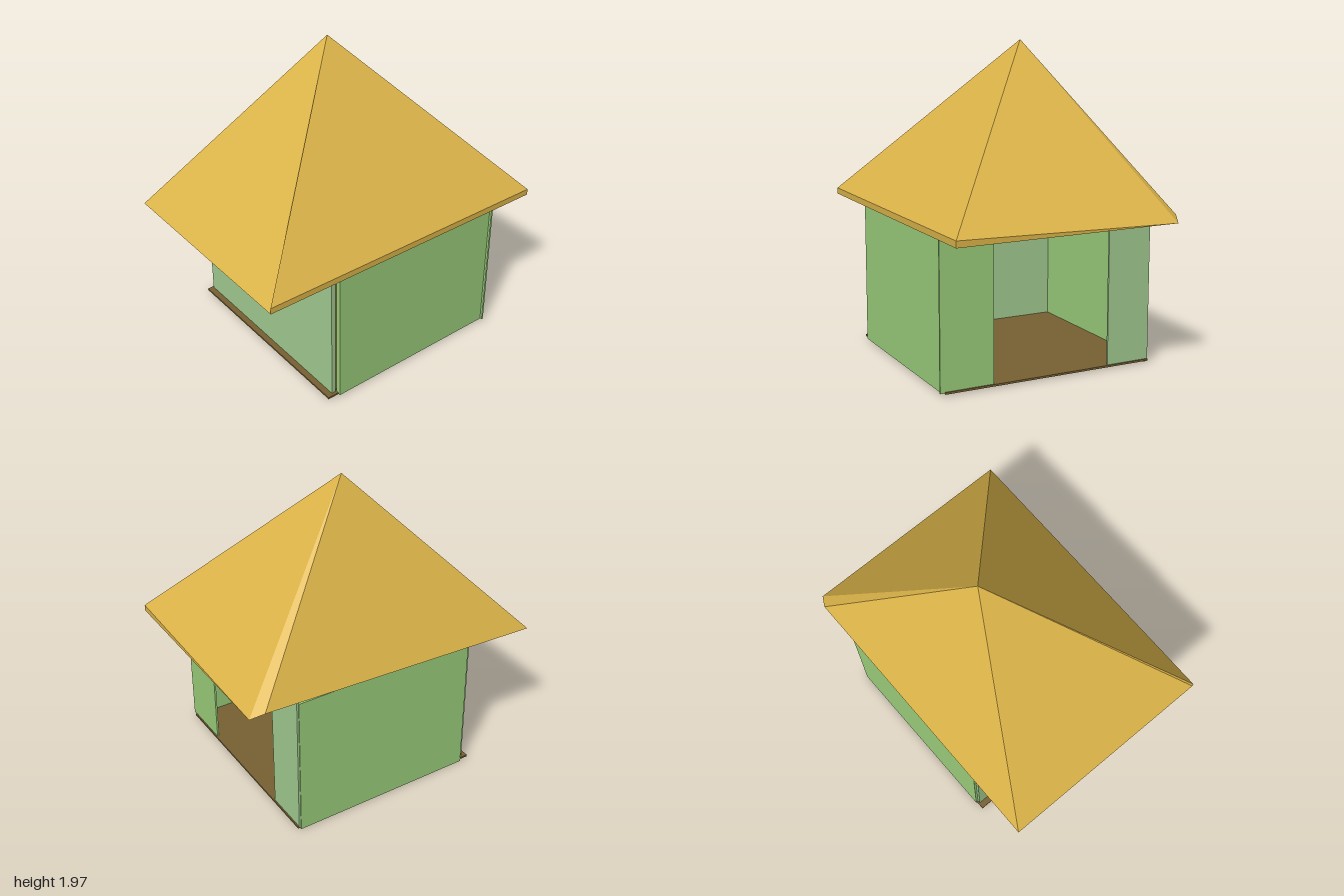
import * as THREE from 'three';

const flat = (name, color) => {
  const m = new THREE.MeshStandardMaterial({ color });
  m.name = name;
  return m;
};

export function createModel() {
  const group = new THREE.Group();
  group.name = 'hut';
  const thatch = flat('thatchYellow', 0xdcb449);
  const leaf = flat('leafGreen', 0x9bce7b);
  const pale = flat('paleGreen', 0xa2cc91);
  const earth = flat('earthBrown', 0x786033);

  // Box given by its lower and upper corners
  const slab = (name, material, [x0, y0, z0], [x1, y1, z1]) => {
    const mesh = new THREE.Mesh(new THREE.BoxGeometry(x1 - x0, y1 - y0, z1 - z0), material);
    mesh.position.set((x0 + x1) / 2, (y0 + y1) / 2, (z0 + z1) / 2);
    mesh.name = name;
    group.add(mesh);
  };

  // Thin floor and walls
  slab('floor', earth, [-0.7, 0.01, -0.71], [0.67, 0.022, 0.58]);
  slab('frontWall', pale, [-0.69, 0.015, 0.51], [0.65, 0.905, 0.54]);
  slab('leftWall', leaf, [0.65, 0.012, -0.69], [0.685, 0.915, 0.505]);
  slab('rightWall', leaf, [-0.705, 0, -0.69], [-0.68, 0.92, 0.52]);

  // Narrow back panels either side of the doorway
  slab('backPanelLeft', leaf, [0.36, 0.015, -0.702], [0.7, 0.915, -0.69]);
  slab('backPanelRight', pale, [-0.7, 0.015, -0.702], [-0.41, 0.935, -0.69]);

  // Lopsided pyramid roof: apex, eave corners and rim corners
  const P = [-0.15, 1.97, -0.05];
  const A1 = [0.7, 0.91, 1], A2 = [0.7, 0.95, 1];
  const D1 = [0.725, 0.91, -0.98], D2 = [0.725, 0.95, -0.98];
  const C = [-0.69, 0.925, -1], B = [-0.73, 0.96, -0.92], F = [-0.73, 0.88, 0.975];
  const faces = [
    P, F, A1, P, A1, A2, // front
    P, A2, D2, A2, A1, D1, A2, D1, D2, // left slope and rim
    P, D2, C, D2, D1, C, // back slope and rim
    P, C, B, P, B, F, // right slope
    A1, F, D1, F, B, D1, B, C, D1, // underside
  ];
  const geometry = new THREE.BufferGeometry();
  geometry.setAttribute('position', new THREE.Float32BufferAttribute(faces.flat(), 3));
  geometry.computeVertexNormals();
  const roof = new THREE.Mesh(geometry, thatch);
  roof.name = 'roof';
  group.add(roof);

  return group;
}
